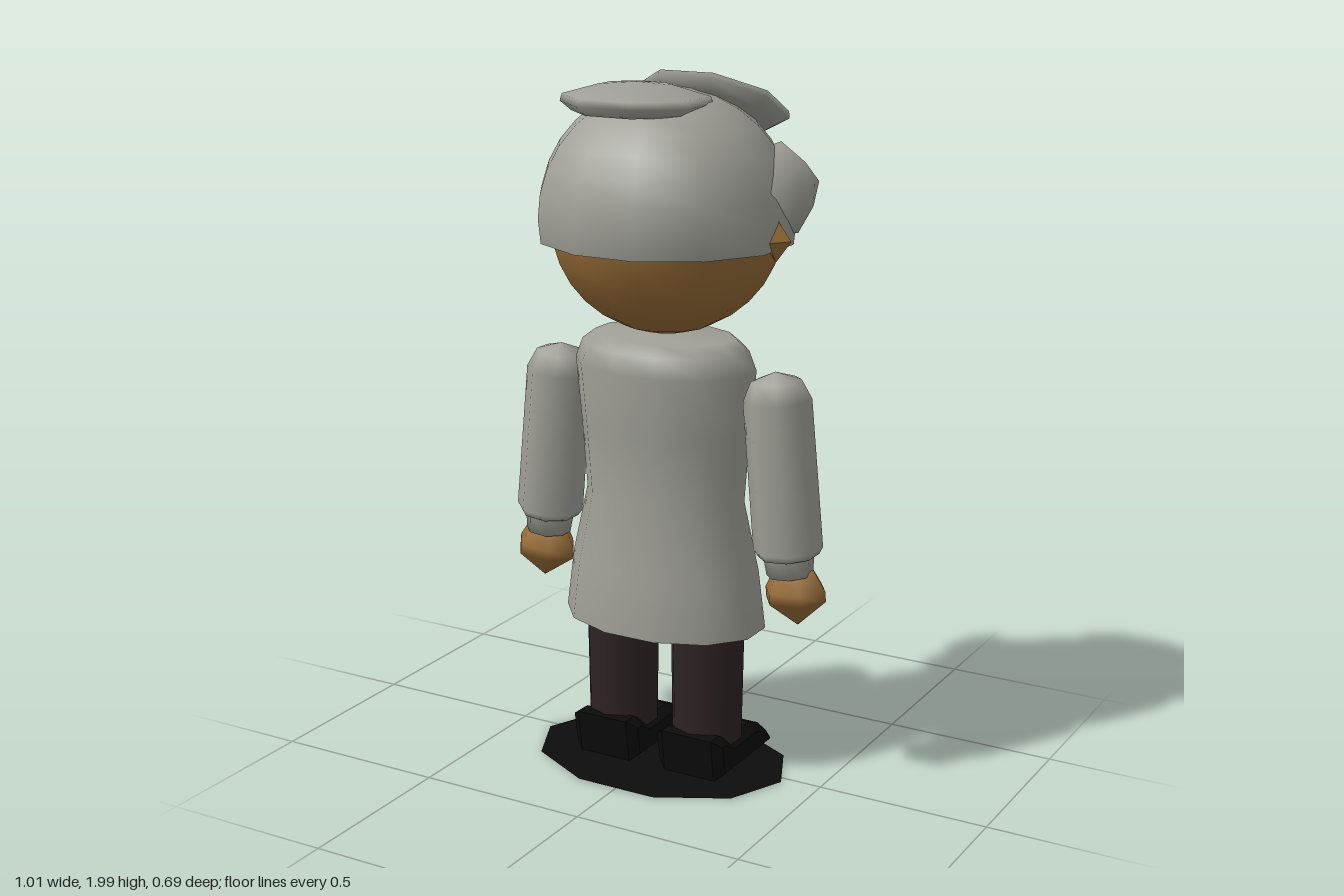
import * as THREE from 'three';

const DEG = Math.PI / 180;
const material = (name, color) => {
  const m = new THREE.MeshStandardMaterial({ color });
  m.name = name;
  m.side = THREE.DoubleSide;
  return m;
};

export function createModel() {
  const model = new THREE.Group();
  model.name = 'figure';
  const grey = material('grey cloth and hair', 0x9f9f97);
  const skin = material('skin', 0x956a36);
  const trousers = material('trousers', 0x2e2325);
  const black = material('black shoes', 0x0c0c0c);

  const add = (name, geometry, mat, x = 0, y = 0, z = 0, parent = model) => {
    const mesh = new THREE.Mesh(geometry, mat);
    mesh.name = name;
    mesh.position.set(x, y, z);
    parent.add(mesh);
    return mesh;
  };
  const lathe = (points, sides, startAngle = 0) =>
    new THREE.LatheGeometry(points.map(([r, y]) => new THREE.Vector2(r, y)), sides, startAngle);

  // Head: every piece shares one grid of 30 degree columns and 11.25 degree rings
  const headPart = (name, mat, [rx, ry, rz], columns, phi, arc, ring, rings) =>
    add(name, new THREE.SphereGeometry(1, columns, rings, phi * DEG, arc * DEG,
      ring * 11.25 * DEG, rings * 11.25 * DEG).scale(rx, ry, rz), mat, 0, 1.6, 0.005);
  const hairSize = [0.365, 0.35, 0.35];
  headPart('head', skin, [0.333, 0.33, 0.315], 12, 15, 360, 0, 16);
  headPart('facePanel', grey, [0.338, 0.335, 0.32], 3, 225, 90, 6, 6);
  headPart('hairTop', grey, hairSize, 12, 15, 360, 0, 5);
  headPart('hairBack', grey, hairSize, 7, -15, 210, 5, 4);
  headPart('leftSideburn', grey, hairSize, 1, 195, 15, 5, 3);
  headPart('rightSideburn', grey, hairSize, 1, 330, 15, 5, 3);

  // Nose
  add('nose', new THREE.OctahedronGeometry(1).scale(0.045, 0.04, 0.04), skin, 0, 1.51, -0.302);

  // Flat hair tufts on the crown
  const crown = (name, rx, rz, x, y, z, tilt) => {
    const lens = lathe([[0, -0.04], [0.85, -0.03], [1, -0.005], [0.97, 0.015], [0.5, 0.042], [0, 0.05]],
      8, Math.PI / 8);
    add(name, lens.scale(rx, 1, rz), grey, x, y, z).rotation.x = tilt;
  };
  crown('smallCrownTuft', 0.213, 0.185, -0.045, 1.915, 0.09, 0);
  crown('largeCrownTuft', 0.22, 0.2, 0.052, 1.89, -0.165, -0.49);

  // Coat, flared at the hem and closed at the neck
  add('coat', lathe([[0, 0.47], [0.295, 0.45], [0.307, 0.43], [0.285, 0.6], [0.24, 0.8], [0.255, 1.0],
    [0.272, 1.18], [0.25, 1.235], [0.21, 1.265], [0, 1.275]], 12, Math.PI / 12)
    .scale(1, 1, 0.69), grey, 0, 0, 0.013);

  // Shoe side profile, heel towards +z and toe towards -z
  const shoeShape = new THREE.Shape([[0.12, 0], [0.14, 0.13], [0.09, 0.13], [0.04, 0.1], [-0.1, 0.1],
    [-0.15, 0.08], [-0.205, 0.035], [-0.205, 0]].map(([z, y]) => new THREE.Vector2(z, y)));

  for (const [side, s] of [['left', 1], ['right', -1]]) {
    add(side + 'Ear', new THREE.OctahedronGeometry(1).scale(0.045, 0.06, 0.05), skin, s * 0.345, 1.56, 0.02);

    // Pointed hair tuft above the ear
    const tuft = lathe([[0, -0.12], [0.11, -0.1], [0.125, -0.01], [0.06, 0.05], [0, 0.065]], 4);
    add(side + 'SideTuft', tuft, grey, s * 0.345, 1.69, -0.075).rotation.z = -s * 1.35;

    // Arm with cuff and hand, leaning in towards the shoulder
    const arm = new THREE.Group();
    arm.name = side + 'Arm';
    arm.position.set(s * 0.395, 0.65, 0.01);
    arm.rotation.z = s * 0.094;
    model.add(arm);
    add(side + 'Sleeve', lathe([[0, 0.03], [0.085, 0.03], [0.097, 0.05], [0.095, 0.47],
      [0.07, 0.525], [0, 0.55]], 8, Math.PI / 8), grey, 0, 0, 0, arm);
    add(side + 'Cuff', lathe([[0, -0.025], [0.065, -0.025], [0.072, 0.04]], 8, Math.PI / 8), grey, 0, 0, 0, arm);
    add(side + 'Hand', lathe([[0, -0.175], [0.09, -0.1], [0.09, -0.07], [0.06, -0.015], [0, -0.01]],
      6, Math.PI / 6).scale(1.03, 1, 0.9), skin, s * 0.008, 0, -0.01, arm);

    // Leg and shoe
    add(side + 'Leg', new THREE.CylinderGeometry(0.107, 0.1, 0.44, 10).scale(1, 1, 1.06),
      trousers, s * 0.14, 0.28, 0.013);
    const shoe = new THREE.ExtrudeGeometry(shoeShape, { depth: 0.16, bevelThickness: 0.027,
      bevelSize: 0.022, bevelOffset: -0.022, bevelSegments: 1 });
    add(side + 'Shoe', shoe.translate(0, 0, -0.08), black, s * 0.14, 0, 0).rotation.y = -Math.PI / 2;
  }

  // Thin ground plate under the feet
  add('groundPlate', new THREE.CircleGeometry(1, 10).rotateX(-Math.PI / 2).scale(0.39, 1, 0.28),
    black, 0, 0.002, 0.03);

  return model;
}
